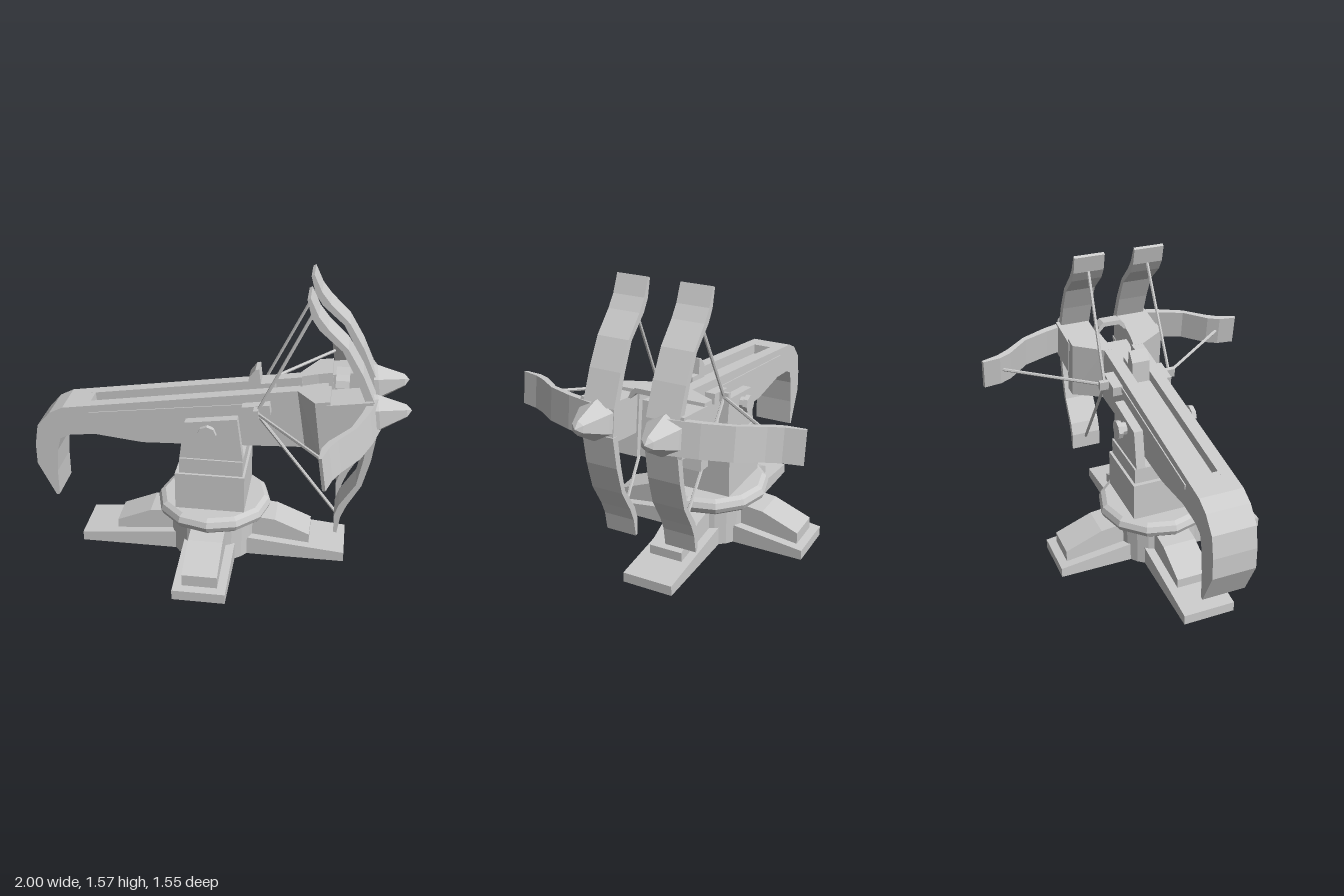
import * as THREE from 'three';

const solid = new THREE.MeshStandardMaterial({ color: 0xcccccc, flatShading: true });
const open = new THREE.MeshStandardMaterial({ color: 0xcccccc, flatShading: true, side: THREE.DoubleSide });
const TILT = 0.147;   // upward pitch of the weapon
const CX = -0.025;    // turntable axis

function add(parent, name, geo, x = 0, y = 0, z = 0, mat = solid) {
  const m = new THREE.Mesh(geo, mat);
  m.name = name;
  m.position.set(x, y, z);
  parent.add(m);
  return m;
}

const shapeOf = pts => new THREE.Shape(pts.map(p => new THREE.Vector2(p[0], p[1])));

// Side profile in x/y, extruded from z0 to z1
function plate(pts, z0, z1) {
  return new THREE.ExtrudeGeometry(shapeOf(pts), { depth: z1 - z0, bevelEnabled: false }).translate(0, 0, z0);
}

// Skin joining equal-sized cross-sections; closed ones also get end caps
function loft(sections, closed = true) {
  const n = sections[0].length, idx = [];
  for (let s = 0; s < sections.length - 1; s++)
    for (let i = 0; i < (closed ? n : n - 1); i++) {
      const a = s * n + i, b = s * n + (i + 1) % n;
      idx.push(a, b, b + n, a, b + n, a + n);
    }
  const last = (sections.length - 1) * n;
  for (let i = 1; i < n - 1; i++) idx.push(last, last + i, last + i + 1);
  if (closed) for (let i = 1; i < n - 1; i++) idx.push(0, i + 1, i);
  const g = new THREE.BufferGeometry();
  g.setAttribute('position', new THREE.Float32BufferAttribute(sections.flat(2), 3));
  g.setIndex(idx);
  g.computeVertexNormals();
  return g;
}

// Thin round rod between two points
function rod(parent, name, a, b, r) {
  const A = new THREE.Vector3(...a), B = new THREE.Vector3(...b);
  const m = add(parent, name, new THREE.CylinderGeometry(r, r, A.distanceTo(B), 6));
  m.position.copy(A).lerp(B, 0.5);
  m.quaternion.setFromUnitVectors(new THREE.Vector3(0, 1, 0), B.sub(A).normalize());
}

// Splayed foot with a raised wedge, hollow underneath
function foot(length, wedgeLength) {
  const g = new THREE.Group();
  g.name = 'foot';
  const arch = (r, w, y0, y1) => [[r, y0, -w], [r, y1, -w], [r, y1, w], [r, y0, w]];
  add(g, 'footPlate', loft([arch(0.2, 0.14, 0, 0.105), arch(length, 0.14, 0, 0.055)], false), 0, 0, 0, open);
  add(g, 'footWedge', loft([arch(0.2, 0.093, 0.06, 0.22), arch(0.35, 0.093, 0.06, 0.205),
    arch(wedgeLength, 0.093, 0.06, 0.125)], false), 0, 0, 0, open);
  const rim = shapeOf([[0.235, -0.14], [length, -0.14], [length, 0.14], [0.235, 0.14]]);
  rim.holes.push(shapeOf([[0.25, -0.1], [0.25, 0.1], [length - 0.04, 0.1], [length - 0.04, -0.1]]));
  add(g, 'footRim', new THREE.ShapeGeometry(rim).rotateX(Math.PI / 2), 0, 0, 0, open);
  return g;
}

function buildBase(root) {
  const base = new THREE.Group();
  base.name = 'base';
  base.position.x = CX;
  root.add(base);
  for (let i = 0; i < 4; i++) {
    const f = i % 2 ? foot(0.6, 0.555) : foot(0.735, 0.54);
    f.rotation.y = i * Math.PI / 2;
    base.add(f);
  }
  add(base, 'drum', new THREE.CylinderGeometry(0.245, 0.245, 0.23, 24, 1, true), 0, 0.115, 0, open);
  const ring = [[0, 0.22], [0.285, 0.215], [0.305, 0.232], [0.317, 0.26], [0.305, 0.29], [0.28, 0.305], [0, 0.305]];
  add(base, 'turntable', new THREE.LatheGeometry(ring.map(p => new THREE.Vector2(...p)), 12));
  add(base, 'pedestal', new THREE.BoxGeometry(0.375, 0.215, 0.39), 0, 0.41, 0);
  add(base, 'pedestalStep', new THREE.BoxGeometry(0.34, 0.09, 0.36), 0.005, 0.56, 0);
  // Yoke cheeks and the pivot pin
  const cheek = [[-0.19, 0.605], [0.15, 0.605], [0.117, 0.853], [-0.16, 0.815]];
  for (const s of [-1, 1]) {
    add(base, 'yokeCheek', plate(cheek, 0.12, 0.17), -CX, 0, s < 0 ? -0.29 : 0);
    add(base, 'pivotCap', new THREE.CylinderGeometry(0.05, 0.05, 0.025, 8).rotateX(Math.PI / 2), -0.01, 0.775, s * 0.21);
  }
  add(base, 'pivotPin', new THREE.CylinderGeometry(0.035, 0.035, 0.4, 8).rotateX(Math.PI / 2), -0.01, 0.775, 0);
}

function buildBeam(root) {
  const beam = new THREE.Group();
  beam.name = 'beam';
  root.add(beam);
  // Hooked tail and underside shared by the rails and the core
  const under = [[-0.834, 0.826], [-0.91, 0.788], [-0.98, 0.708], [-1, 0.59], [-1, 0.472], [-0.905, 0.275],
    [-0.888, 0.28], [-0.888, 0.43], [-0.877, 0.563], [-0.856, 0.638], [-0.8, 0.665], [-0.66, 0.68], [-0.4, 0.65], [-0.2, 0.658]];
  const rail = [...under, [0.47, 0.69], [0.43, 1.013]];
  const core = [...under, [0.615, 0.698], [0.572, 0.98], [-0.685, 0.793], [-0.69, 0.847]];
  add(beam, 'beamCore', plate(core, -0.075, 0.075));
  const sections = [[0.42, 1.012, 0.47, 0.69, 0.06, 0.115], [0.515, 1.026, 0.56, 0.695, 0.075, 0.27],
    [0.59, 1.037, 0.635, 0.7, 0.08, 0.27]];
  for (const s of [-1, 1]) {
    add(beam, 'beamRail', plate(rail, s < 0 ? -0.115 : 0.05, s < 0 ? -0.05 : 0.115));
    add(beam, 'forkArm', loft(sections.map(([tx, ty, bx, by, z0, z1]) =>
      [[tx, ty, s * z0], [tx, ty, s * z1], [bx, by, s * z1], [bx, by, s * z0]])), 0, 0, 0, open);
    add(beam, 'sideTrack', new THREE.BoxGeometry(0.87, 0.028, 0.012), -0.255, 0.852, s * 0.115).rotation.z = 0.13;
    add(beam, 'slidePlate', new THREE.BoxGeometry(0.145, 0.055, 0.06), 0.215, 0.908, s * 0.14).rotation.z = TILT;
    add(beam, 'slidePeg', new THREE.BoxGeometry(0.025, 0.05, 0.1), 0.22, 0.91, s * 0.17).rotation.z = TILT;
  }
  // Trigger block riding in the channel
  add(beam, 'triggerBlock', plate([[0.16, 0.9], [0.3, 0.92], [0.295, 1.018], [0.225, 1.008], [0.215, 1.09],
    [0.195, 1.085], [0.162, 1.04]], -0.05, 0.05));
  // Arched strap joining the two hubs
  const strap = shapeOf([[-0.09, 1.03], [-0.075, 1.065], [-0.05, 1.088], [0.05, 1.088], [0.075, 1.065], [0.09, 1.03],
    [0.075, 1.03], [0.045, 1.062], [-0.045, 1.062], [-0.075, 1.03]]);
  add(beam, 'strap', new THREE.ExtrudeGeometry(strap, { depth: 0.07, bevelEnabled: false }).rotateY(Math.PI / 2), 0.61, 0, 0);
}

// One hub: block, spike, three bow limbs and their strings
function buildBow(root, s) {
  const hub = new THREE.Group();
  hub.name = s > 0 ? 'leftBow' : 'rightBow';
  hub.position.set(0.72, 0.938, s * 0.17);
  hub.rotation.z = TILT;
  root.add(hub);
  add(hub, 'hubBlock', new THREE.BoxGeometry(0.23, 0.2, 0.185), -0.02, 0, s * 0.012);
  const spike = [[0, 0], [0.103, 0], [0.098, 0.025], [0.035, 0.16], [0, 0.185]];
  add(hub, 'spike', new THREE.LatheGeometry(spike.map(p => new THREE.Vector2(...p)), 6)
    .rotateY(Math.PI / 2).rotateZ(-Math.PI / 2), 0.093, 0, s * 0.012);
  const limb = [[0.063, 0.07], [0.105, 0.07], [0.058, 0.236], [-0.001, 0.38], [-0.088, 0.495], [-0.126, 0.562],
    [-0.155, 0.658], [-0.171, 0.652], [-0.16, 0.556], [-0.129, 0.491], [-0.029, 0.373], [0.02, 0.232]];
  const limbGeo = plate(limb, -0.085, 0.085);
  add(hub, 'upperLimb', limbGeo);
  add(hub, 'lowerLimb', limbGeo).rotation.x = Math.PI;
  add(hub, 'sideLimb', limbGeo, 0.02, 0, -s * 0.055).rotation.x = s * Math.PI / 2;
  const peg = [0.22, 0.91, s * 0.19];
  rod(root, 'upperString', [0.49, 1.47, s * 0.17], peg, 0.009);
  rod(root, 'lowerString', [0.65, 0.34, s * 0.17], peg, 0.009);
  rod(root, 'sideString', [0.6, 0.918, s * 0.665], peg, 0.009);
}

export function createModel() {
  const root = new THREE.Group();
  root.name = 'twinBowTurret';
  buildBase(root);
  buildBeam(root);
  for (const s of [-1, 1]) buildBow(root, s);
  return root;
}
